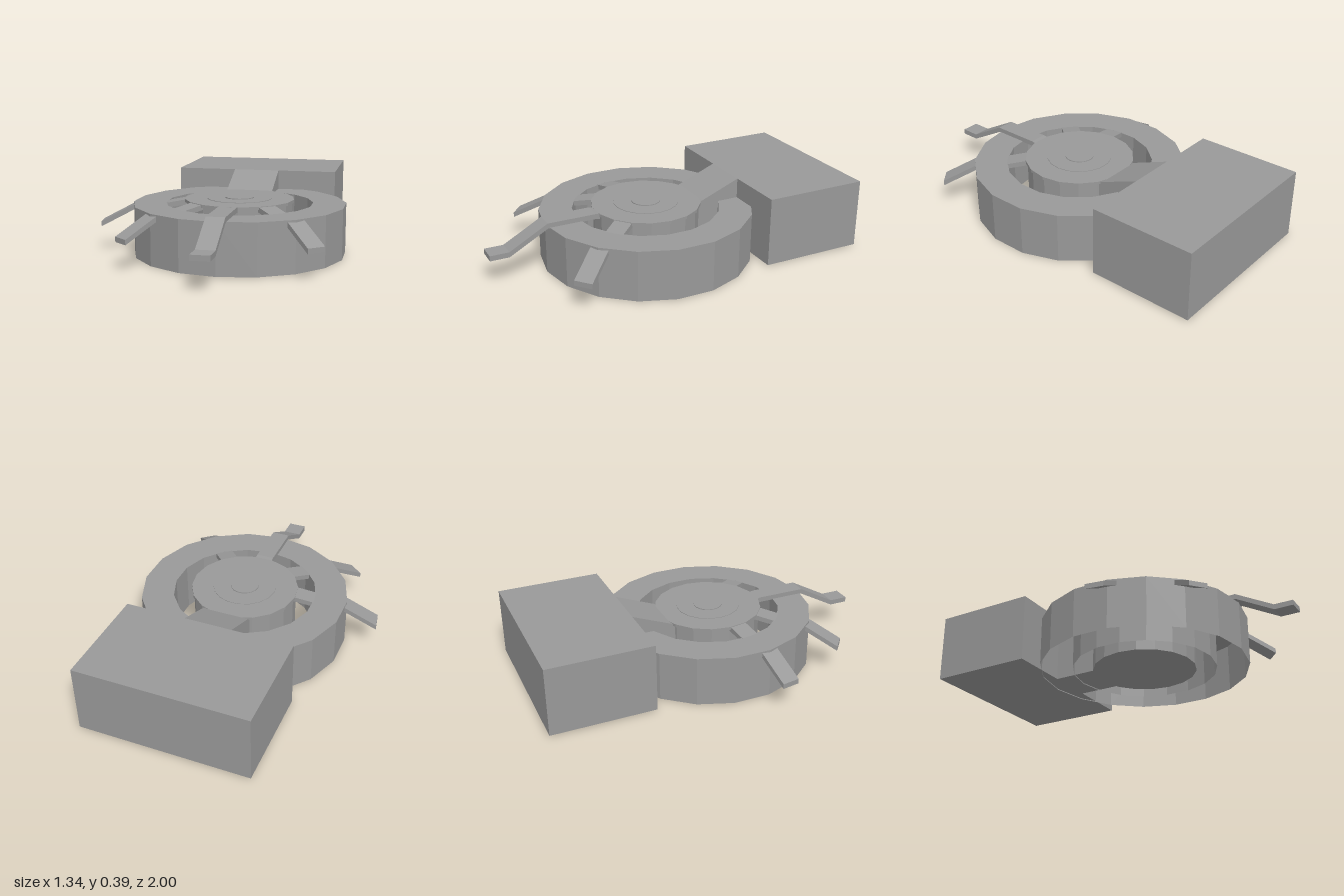
import * as THREE from 'three';

const CX = 0.092, CZ = 0.09; // axis of the ring and hub
const SIDES = 18;

export function createModel() {
  const model = new THREE.Group();
  const grey = new THREE.MeshStandardMaterial({ color: 0x999999, flatShading: true });
  const shell = grey.clone();
  shell.side = THREE.DoubleSide;

  const add = (name, geometry, material = grey, parent = model) => {
    const mesh = new THREE.Mesh(geometry, material);
    mesh.name = name;
    parent.add(mesh);
    return mesh;
  };

  const lathe = (points) =>
    new THREE.LatheGeometry(points.map(([r, y]) => new THREE.Vector2(r, y)), SIDES);

  // Side outline given as (z, y), extruded across x and centred on x = 0
  const slab = (points, width) => {
    const shape = new THREE.Shape(points.map(([z, y]) => new THREE.Vector2(z, y)));
    const g = new THREE.ExtrudeGeometry(shape, { depth: width, bevelEnabled: false });
    return g.translate(0, 0, -width / 2).rotateY(-Math.PI / 2);
  };

  // Flat bar of even thickness following a line of top points
  const bar = (top, thickness) =>
    slab([...top, ...top.map(([z, y]) => [z, y - thickness]).reverse()], 0.1);

  // Main body and the sloped bridge to the hub
  add('rearBox', new THREE.BoxGeometry(0.953, 0.385, 0.585)).position.set(0.0925, 0.1975, -0.7075);
  add('bridge', slab([[-0.45, 0.005], [-0.15, 0.005], [-0.15, 0.28], [-0.19, 0.3], [-0.415, 0.39], [-0.45, 0.39]], 0.268))
    .position.x = 0.0935;

  const wheel = new THREE.Group();
  wheel.name = 'wheel';
  wheel.position.set(CX, 0, CZ);
  model.add(wheel);

  // Hollow ring, open underneath
  add('ring', lathe([[0.589, 0], [0.589, 0.278], [0.407, 0.278], [0.407, 0]]), shell, wheel);

  // Hub with a thin lip and a shallow stepped top
  add('hub', lathe([
    [0, 0], [0.292, 0], [0.292, 0.284], [0.303, 0.284], [0.303, 0.301],
    [0.18, 0.301], [0.18, 0.304], [0.08, 0.304], [0.08, 0.309], [0, 0.309],
  ]), grey, wheel).rotation.y = Math.PI / SIDES;

  // Long stepped arm at the front
  add('frontArm', bar([[0.295, 0.3], [0.32, 0.304], [0.59, 0.304], [0.805, 0.186], [0.91, 0.186]], 0.029), grey, wheel);

  // Short arms dipping through the ring and drooping outside it
  const armProfile = [[0.285, 0.3], [0.41, 0.277], [0.565, 0.277], [0.765, 0.172]];
  for (const [name, degrees] of [['leftArm', 40.5], ['rightArm', -40.5], ['sideArm', -80]]) {
    add(name, bar(armProfile, 0.028), grey, wheel).rotation.y = THREE.MathUtils.degToRad(degrees);
  }

  return model;
}
